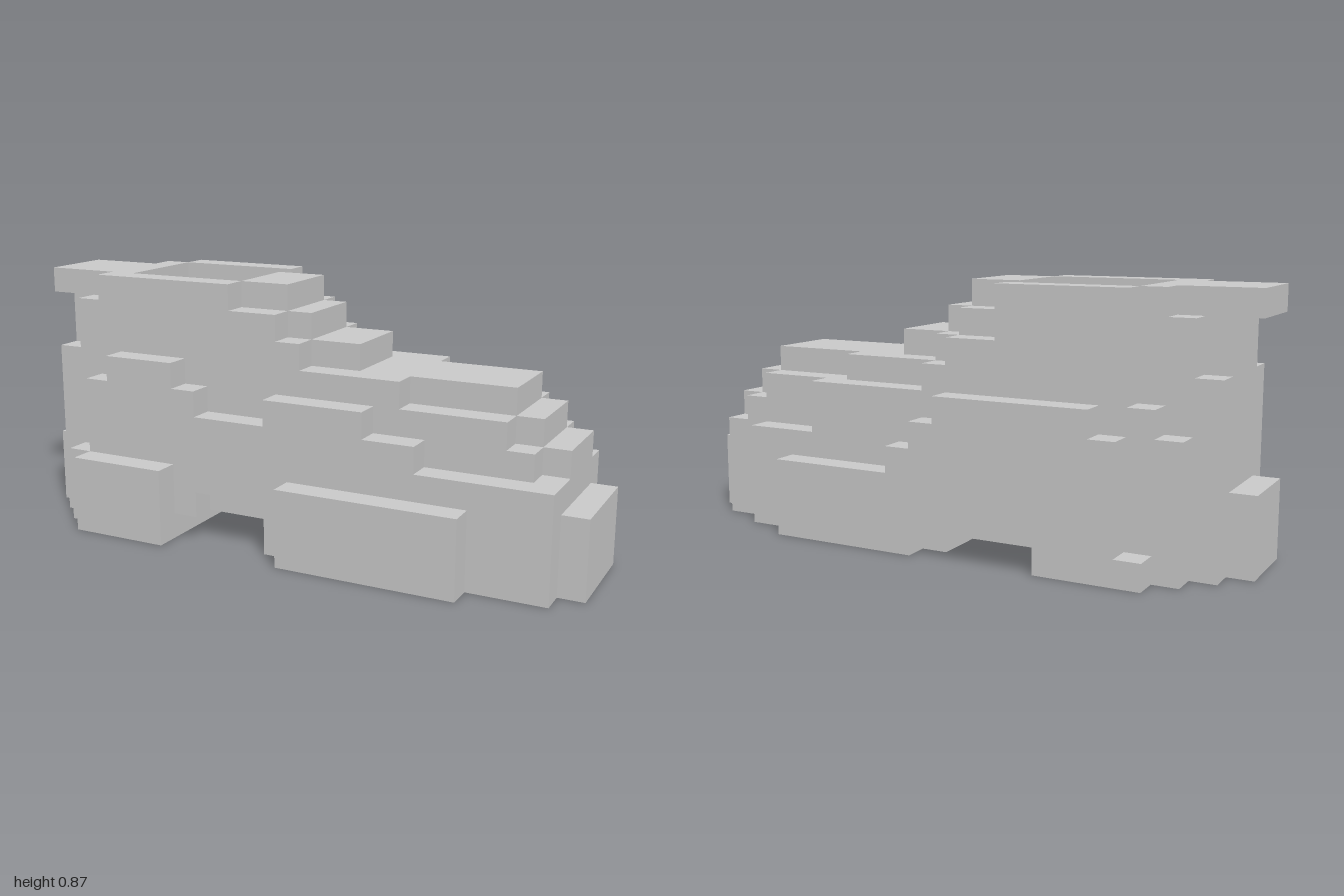
import * as THREE from 'three';

const U = 2 / 23; // block size: 23 long, 10 high, 9 deep

// Stepped slab: tops and bottoms are runs of [end column, level] starting at column x0
function slab(name, z0, z1, x0, tops, bottoms, material) {
  const points = [];
  let x = x0;
  for (const [end, level] of tops) {
    points.push([x, level], [end, level]);
    x = end;
  }
  const under = [];
  x = x0;
  for (const [end, level] of bottoms) {
    under.push([x, level], [end, level]);
    x = end;
  }
  points.push(...under.reverse());
  const clean = points.filter((p, i) => {
    const q = points[(i + 1) % points.length];
    return p[0] !== q[0] || p[1] !== q[1];
  });
  clean.reverse();
  const shape = new THREE.Shape(clean.map(([a, b]) => new THREE.Vector2((a - 11.5) * U, b * U)));
  const geometry = new THREE.ExtrudeGeometry(shape, { depth: (z1 - z0) * U, bevelEnabled: false });
  geometry.translate(0, 0, (z0 - 4.5) * U);
  const mesh = new THREE.Mesh(geometry, material);
  mesh.name = name;
  return mesh;
}

// Box between block coordinates
function block(name, [x0, y0, z0], [x1, y1, z1], material) {
  const mesh = new THREE.Mesh(
    new THREE.BoxGeometry((x1 - x0) * U, (y1 - y0) * U, (z1 - z0) * U), material);
  mesh.position.set(((x0 + x1) / 2 - 11.5) * U, ((y0 + y1) / 2) * U, ((z0 + z1) / 2 - 4.5) * U);
  mesh.name = name;
  return mesh;
}

export function createModel() {
  const model = new THREE.Group();
  model.name = 'steppedBody';
  const material = new THREE.MeshStandardMaterial({ color: 0xcccccc, flatShading: true });
  const add = (name, z0, z1, x0, tops, bottoms) =>
    model.add(slab(name, z0, z1, x0, tops, bottoms, material));

  // Raised underside between the two feet
  const arch = (end) => [[7, 0], [11, 1], [end, 0]];

  // Back side panels
  add('backOuterPanel', 0, 1, 3,
    [[4, 1], [5, 5], [11, 6], [12, 5], [13, 4], [18, 3]], [[7, 0], [12, 1], [18, 0]]);
  add('backSidePanel', 1, 2, 2,
    [[3, 5], [4, 6], [9, 10], [11, 8], [12, 7], [17, 6], [20, 4]], arch(20));

  // Shoulders either side of the core
  const slope = [[12, 8], [16, 7], [20, 6], [21, 5], [22, 4]];
  add('backShoulder', 2, 3, 1, [[2, 7], [3, 9], [4, 10], [11, 9], ...slope], arch(22));
  add('frontShoulder', 6, 7, 1, [[2, 7], [3, 9], [9, 10], [11, 9], ...slope, [23, 3]], arch(23));

  // Core with sunken roof, stepped nose and tail block
  const core = (roof) => [[1, 3], [4, 10], ...roof,
    [11, 10], [12, 9], [14, 8], [20, 7], [21, 6], [22, 5], [23, 3]];
  add('coreBack', 3, 4, 0, core([[9, 8]]), arch(23));
  add('coreMiddle', 4, 5, 0, core([[5, 9], [9, 8]]), arch(23));
  add('coreFront', 5, 6, 0, core([[9, 9]]), arch(23));

  // Overhanging tail ledge
  model.add(block('tailLedge', [0, 9, 3], [1, 10, 6], material));

  // Front side panel and its two feet
  add('frontSidePanel', 7, 8, 2,
    [[3, 3], [4, 6], [7, 7], [8, 6], [11, 5], [15, 6], [17, 5], [22, 4]],
    [[7, 0], [8, 1], [11, 2], [22, 0]]);
  model.add(block('rearFoot', [3, 0, 8], [7, 3, 9], material));
  model.add(block('frontFoot', [12, 0, 8], [19, 3, 9], material));

  return model;
}
